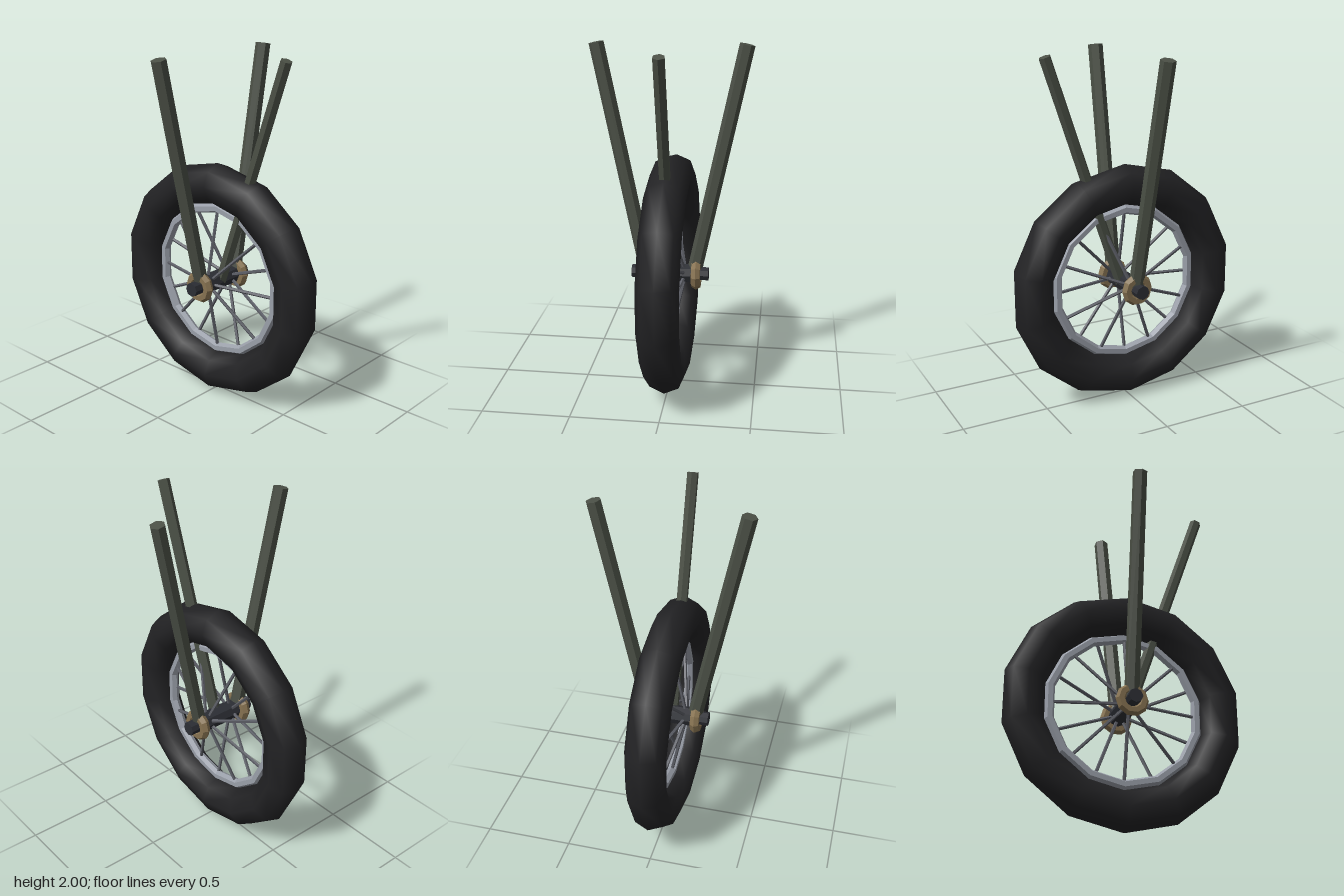
import * as THREE from 'three';

const AXLE_Y = 0.69;
const paint = (color, flatShading = true) => new THREE.MeshStandardMaterial({ color, flatShading });

const rubber = paint(0x222224, false);
const rimMetal = paint(0x9a9fa9);
const spokeMetal = paint(0x5c5e66);
const hubMetal = paint(0x2c2e34);
const brass = paint(0x857150);
const strutPaint = paint(0x4b5046);

function add(parent, name, geometry, material) {
  const mesh = new THREE.Mesh(geometry, material);
  mesh.name = name;
  parent.add(mesh);
  return mesh;
}

// Ring around the x axis, turned so that a corner can point straight down
function ring(radius, tube, sides, segments, turn = 0) {
  return new THREE.TorusGeometry(radius, tube, sides, segments).rotateZ(turn).rotateY(Math.PI / 2);
}

// Straight bar between two points, with its cross-section turned by twist
function bar(a, b, radius, sides, twist = 0) {
  const dir = b.clone().sub(a);
  const q = new THREE.Quaternion().setFromUnitVectors(new THREE.Vector3(0, 1, 0), dir.clone().normalize());
  const geometry = new THREE.CylinderGeometry(radius, radius, dir.length(), sides).rotateY(twist);
  geometry.applyQuaternion(q);
  const mid = a.clone().add(b).multiplyScalar(0.5);
  return geometry.translate(mid.x, mid.y, mid.z);
}

export function createModel() {
  const model = new THREE.Group();
  model.name = 'wheelAssembly';

  const wheel = new THREE.Group();
  wheel.name = 'wheel';
  wheel.position.y = AXLE_Y;
  model.add(wheel);

  // Tyre and rim
  add(wheel, 'tyre', ring(0.573, 0.116, 8, 14, Math.PI / 14), rubber);
  add(wheel, 'rim', ring(0.43, 0.028, 6, 14, Math.PI / 14), rimMetal);

  // Hub and axle
  add(wheel, 'hub', new THREE.CylinderGeometry(0.055, 0.055, 0.24, 8).rotateZ(Math.PI / 2), hubMetal);
  add(wheel, 'axle', new THREE.CylinderGeometry(0.04, 0.04, 0.44, 8).rotateZ(Math.PI / 2), hubMetal);

  // Spokes, starting alternately on each side of the hub
  const spokes = new THREE.Group();
  spokes.name = 'spokes';
  wheel.add(spokes);
  for (let i = 0; i < 16; i++) {
    const angle = (i / 16) * Math.PI * 2;
    const y = Math.sin(angle), z = Math.cos(angle);
    const inner = new THREE.Vector3(i % 2 ? 0.08 : -0.08, y * 0.045, z * 0.045);
    const outer = new THREE.Vector3(0, y * 0.425, z * 0.425);
    add(spokes, 'spoke', bar(inner, outer, 0.01, 5), spokeMetal);
  }

  // Collars and side struts
  for (const [side, s] of [['left', 1], ['right', -1]]) {
    const collar = add(wheel, side + 'Collar', ring(0.065, 0.029, 6, 10), brass);
    collar.position.x = s * 0.15;
    const foot = new THREE.Vector3(s * 0.14, 0.71, 0);
    const top = new THREE.Vector3(s * 0.408, 1.99, -0.03);
    add(model, side + 'Strut', bar(foot, top, 0.042, 6, Math.PI / 6), strutPaint);
  }

  // Front brace running through the tyre to the hub
  const brace = bar(new THREE.Vector3(0, AXLE_Y, 0.025), new THREE.Vector3(0, 1.99, 0.463), 0.033, 6);
  add(model, 'frontBrace', brace, strutPaint);

  return model;
}
